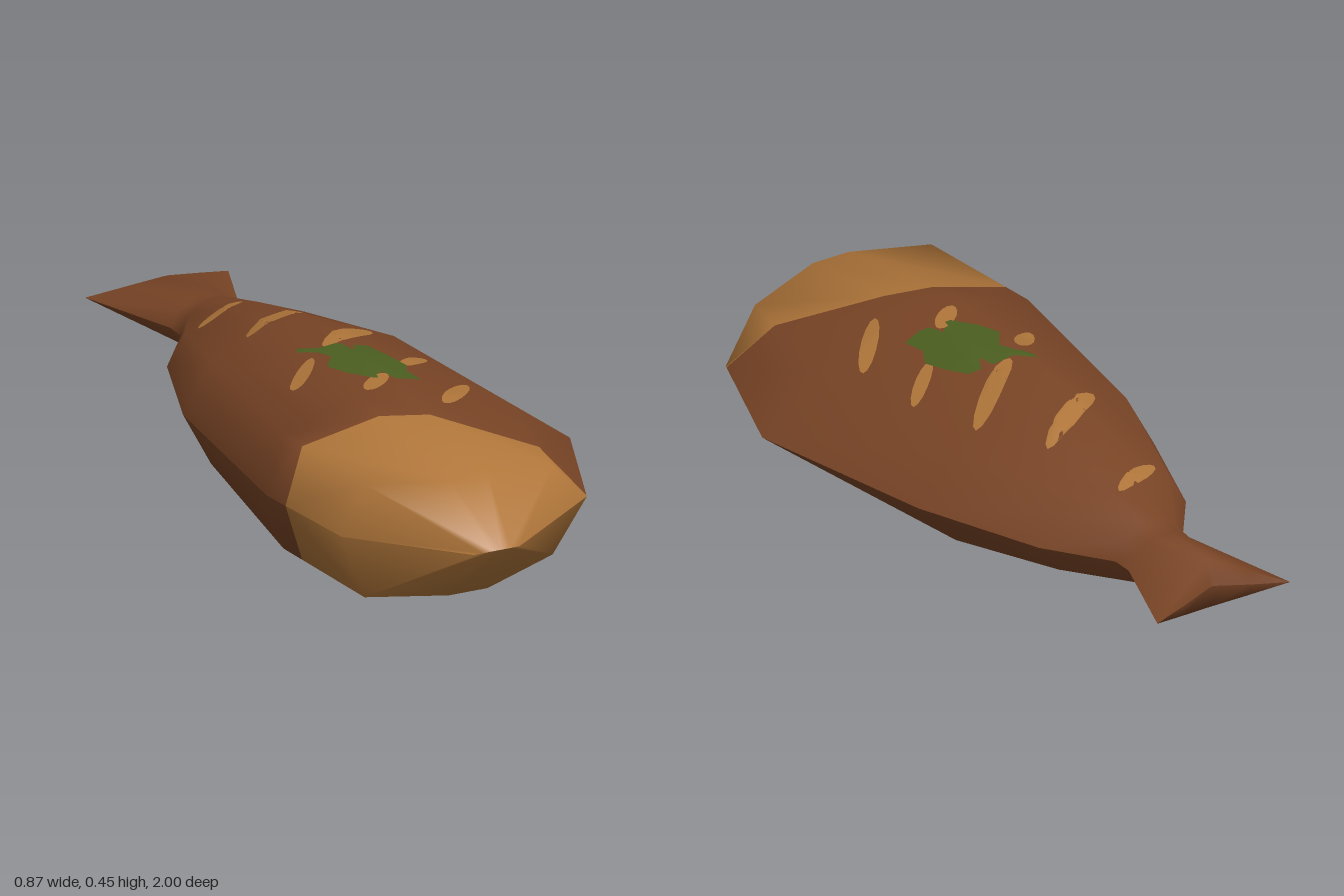
import * as THREE from 'three';

const MID = 0.224; // height of the seam between the two halves

// Cross-sections from nose to tail: [x, height above seam, z] from right edge to left edge
const nose = [[-0.145, 0, 1], [-0.12, 0, 1], [-0.09, 0, 1], [-0.065, 0, 1], [-0.04, 0, 1], [-0.015, 0, 1]];
const cheek = [[-0.39, 0, 0.74], [-0.35, 0.155, 0.79], [-0.15, 0.157, 0.87], [-0.04, 0.157, 0.87], [0.17, 0.121, 0.82], [0.29, 0, 0.775]];
const chest = [[-0.435, 0, 0.405], [-0.385, 0.156, 0.4], [-0.175, 0.223, 0.41], [-0.045, 0.223, 0.41], [0.25, 0.132, 0.4], [0.43, 0, 0.4]];
// Colour border between head and body, a blend of cheek and chest
const border = [0.75, 0.77, 0.78, 0.7, 0.3, 0.02].map((t, i) =>
  cheek[i].map((v, k) => v + (chest[i][k] - v) * t));
const ROWS = [
  nose, cheek, border, chest,
  [[-0.38, 0, -0.18], [-0.31, 0.14, -0.16], [-0.14, 0.219, -0.14], [-0.03, 0.219, -0.14], [0.2, 0.125, -0.14], [0.315, 0, -0.14]],
  [[-0.27, 0, -0.49], [-0.22, 0.085, -0.49], [-0.1, 0.13, -0.49], [-0.01, 0.13, -0.49], [0.12, 0.08, -0.49], [0.18, 0, -0.49]],
  [[-0.145, 0, -0.66], [-0.125, 0.05, -0.66], [-0.07, 0.086, -0.66], [-0.02, 0.086, -0.66], [0.035, 0.05, -0.66], [0.06, 0, -0.66]],
  [[-0.145, 0, -0.72], [-0.125, 0.042, -0.72], [-0.07, 0.072, -0.72], [-0.02, 0.072, -0.72], [0.035, 0.042, -0.72], [0.06, 0, -0.72]],
  [[-0.247, 0, -1], [-0.155, 0.035, -0.945], [-0.075, 0.066, -0.895], [-0.062, 0.066, -0.895], [0.045, 0.035, -0.945], [0.16, 0, -1]],
  [[-0.247, 0, -1], [-0.155, 0, -0.955], [-0.075, 0, -0.91], [-0.062, 0, -0.91], [0.045, 0, -0.955], [0.16, 0, -1]],
];
const COLS = 6;
const HEAD_ROWS = 2;

// Triangles of the half shell
const TRIS = [];
for (let r = 0; r < ROWS.length - 1; r++) {
  for (let c = 0; c < COLS - 1; c++) {
    const a = r * COLS + c, d = a + COLS;
    TRIS.push([a, a + 1, d], [a + 1, d + 1, d]);
  }
}
const POINTS = ROWS.flat();

// Height of the shell above the seam at (x, z)
function heightAt(x, z) {
  let best = 0;
  for (const t of TRIS) {
    const [a, b, c] = t.map((i) => POINTS[i]);
    const det = (b[2] - c[2]) * (a[0] - c[0]) + (c[0] - b[0]) * (a[2] - c[2]);
    if (Math.abs(det) < 1e-9) continue;
    const u = ((b[2] - c[2]) * (x - c[0]) + (c[0] - b[0]) * (z - c[2])) / det;
    const v = ((c[2] - a[2]) * (x - c[0]) + (a[0] - c[0]) * (z - c[2])) / det;
    if (u < -1e-6 || v < -1e-6 || u + v > 1 + 1e-6) continue;
    best = Math.max(best, u * a[1] + v * b[1] + (1 - u - v) * c[1]);
  }
  return best;
}

// Indexed geometry; side is 1 for the upper half, -1 for the mirrored lower half
function makeGeometry(points, tris, side) {
  const geo = new THREE.BufferGeometry();
  const pos = points.flatMap(([x, h, z]) => [x, MID + side * h, z]);
  geo.setAttribute('position', new THREE.Float32BufferAttribute(pos, 3));
  geo.setIndex(tris.flatMap(([a, b, c]) => (side > 0 ? [a, b, c] : [a, c, b])));
  geo.computeVertexNormals();
  return geo;
}

// Thin patch draped over the shell: rings growing from the centre to the outline
function drape(outline, lift, side) {
  const n = outline.length, rings = 5;
  const cx = outline.reduce((s, p) => s + p[0], 0) / n;
  const cz = outline.reduce((s, p) => s + p[1], 0) / n;
  const pts = [], tris = [];
  for (let r = 0; r <= rings; r++) {
    for (const [px, pz] of outline) {
      const x = cx + (px - cx) * r / rings, z = cz + (pz - cz) * r / rings;
      pts.push([x, heightAt(x, z) + lift, z]);
    }
  }
  for (let r = 0; r < rings; r++) {
    for (let i = 0; i < n; i++) {
      const j = (i + 1) % n, a = r * n + i, b = r * n + j;
      if (r > 0) tris.push([a, a + n, b]);
      tris.push([b, a + n, b + n]);
    }
  }
  return makeGeometry(pts, tris, side);
}

// Slim pointed oval between two points, counter-clockwise seen from above
function stripeOutline([x0, z0, x1, z1, width]) {
  const cx = (x0 + x1) / 2, cz = (z0 + z1) / 2, ux = (x1 - x0) / 2, uz = (z1 - z0) / 2;
  const len = Math.hypot(ux, uz), k = width / 2 / len;
  return Array.from({ length: 14 }, (_, i) => {
    const a = (i / 14) * Math.PI * 2, c = Math.cos(a), s = Math.sin(a) * k;
    return [cx + ux * c + uz * s, cz + uz * c - ux * s];
  });
}

const STRIPES = [
  [-0.2, -0.45, -0.035, -0.535, 0.04], [-0.205, -0.165, 0.03, -0.305, 0.055],
  [-0.1, 0.06, 0.125, -0.12, 0.055], [-0.26, 0.205, -0.16, 0.11, 0.045],
  [0.05, 0.2, 0.175, 0.09, 0.04], [-0.135, 0.375, -0.04, 0.29, 0.05],
  [0.035, 0.475, 0.185, 0.305, 0.045],
];
const LEAF = [
  [-0.165, 0.03], [-0.17, 0.05], [-0.14, 0.08], [-0.115, 0.13], [-0.155, 0.19], [-0.13, 0.25], [-0.085, 0.31],
  [0, 0.325], [0.05, 0.315], [0.04, 0.25], [0.065, 0.2], [0.045, 0.13], [0.02, 0.07], [-0.065, 0.055], [-0.115, 0.065],
];

export function createModel() {
  const brown = new THREE.MeshStandardMaterial({ color: 0x7a4526 });
  brown.name = 'roasted brown';
  const tan = new THREE.MeshStandardMaterial({ color: 0xb0763a });
  tan.name = 'golden tan';
  const green = new THREE.MeshStandardMaterial({ color: 0x4c5f20 });
  green.name = 'herb green';

  const model = new THREE.Group();
  model.name = 'cookedFish';
  const add = (parent, name, geo, mat) => {
    const mesh = new THREE.Mesh(geo, mat);
    mesh.name = name;
    parent.add(mesh);
  };

  for (const side of [1, -1]) {
    const half = new THREE.Group();
    half.name = side > 0 ? 'upperHalf' : 'lowerHalf';
    model.add(half);

    // Shell with tan head and brown body and tail
    const shell = makeGeometry(POINTS, TRIS, side);
    const headCount = HEAD_ROWS * (COLS - 1) * 6;
    shell.addGroup(0, headCount, 0);
    shell.addGroup(headCount, TRIS.length * 3 - headCount, 1);
    add(half, 'headAndBody', shell, [tan, brown]);

    // Grill marks and herb garnish
    STRIPES.forEach((s, i) => add(half, `stripe${i + 1}`, drape(stripeOutline(s), 0.002, side), tan));
    add(half, 'herbPatch', drape(LEAF, 0.004, side), green);
  }
  return model;
}
